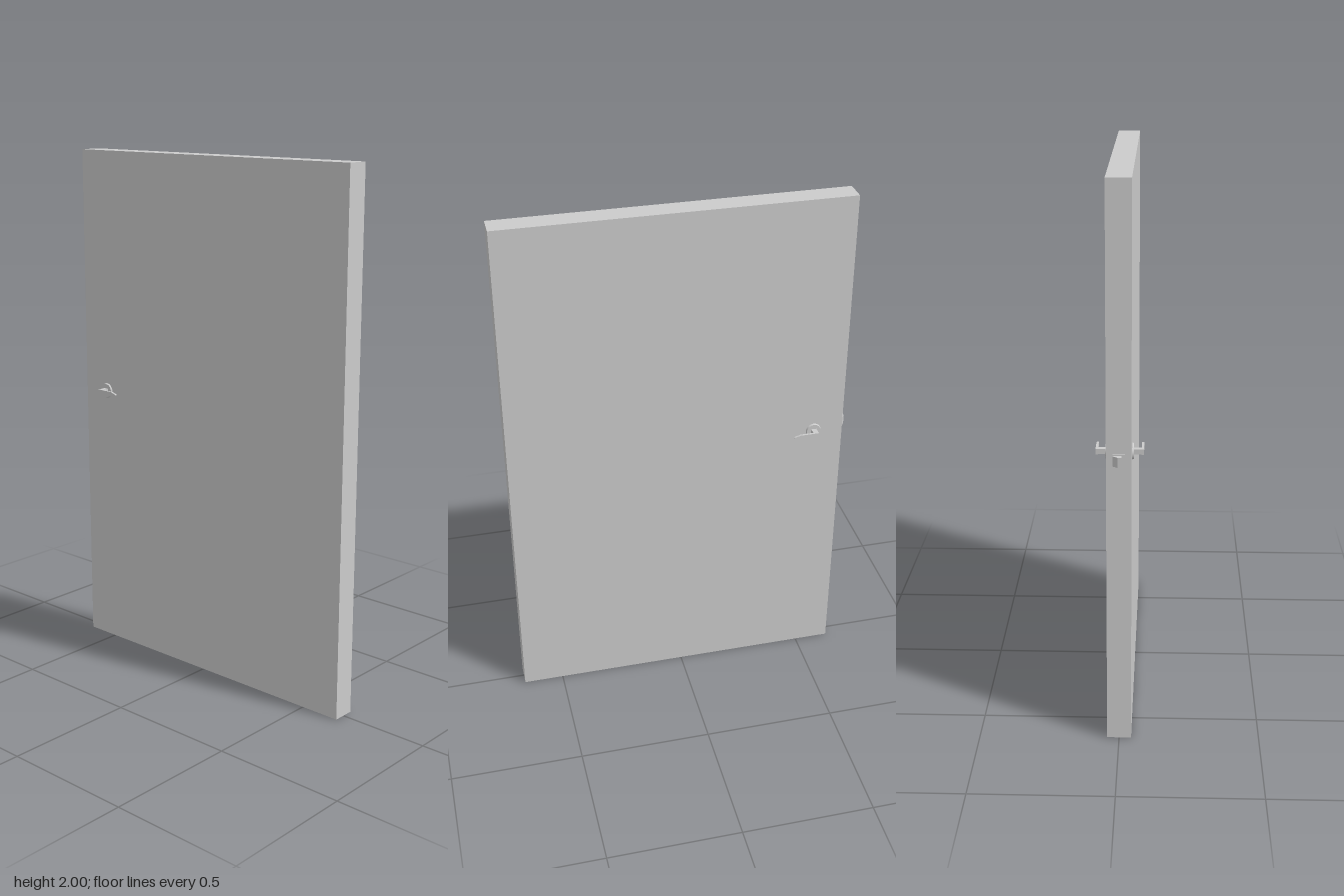
import * as THREE from 'three';

export function createModel() {
  const model = new THREE.Group();
  model.name = 'door';
  const material = new THREE.MeshStandardMaterial({ color: 0xcccccc });

  function add(parent, name, geometry, x = 0, y = 0, z = 0) {
    const mesh = new THREE.Mesh(geometry, material);
    mesh.name = name;
    mesh.position.set(x, y, z);
    parent.add(mesh);
    return mesh;
  }

  function extrude(points, depth) {
    const shape = new THREE.Shape(points.map(([x, y]) => new THREE.Vector2(x, y)));
    return new THREE.ExtrudeGeometry(shape, { depth, bevelEnabled: false });
  }

  // Plain slab
  add(model, 'doorPanel', new THREE.BoxGeometry(1.29, 2, 0.086), 0.01, 1, 0);

  // Handle sets, the same on both faces; mirrored by the sign of z
  const handleY = 1.052;
  for (const side of [1, -1]) {
    const handle = new THREE.Group();
    handle.name = side > 0 ? 'frontHandle' : 'backHandle';
    handle.position.set(-0.52, handleY, 0);
    model.add(handle);

    const rosette = add(handle, 'rosette', new THREE.CylinderGeometry(0.027, 0.03, 0.007, 32), 0, 0, side * 0.0455);
    rosette.rotation.x = side * Math.PI / 2;

    // Square neck and a tapering lever pointing to the hinge side
    add(handle, 'neck', new THREE.BoxGeometry(0.02, 0.018, 0.038), 0, 0, side * 0.062);
    const lever = extrude([
      [-0.01, -0.01], [0.062, -0.009], [0.087, -0.002], [0.087, 0.002], [0.062, 0.009], [-0.01, 0.01],
    ], 0.008);
    add(handle, 'lever', lever, 0, 0, side > 0 ? 0.075 : -0.083);
  }

  // Latch in the free edge: face plate and bevelled bolt
  const latch = new THREE.Group();
  latch.name = 'latch';
  latch.position.set(-0.635, 1.058, 0);
  model.add(latch);
  add(latch, 'latchPlate', new THREE.BoxGeometry(0.006, 0.044, 0.042), 0, 0, 0);
  const bolt = extrude([[0, -0.01], [0, 0.02], [-0.008, 0.02], [-0.02, 0.004], [-0.02, -0.01]], 0.036);
  add(latch, 'latchBolt', bolt, 0, 0.018, 0).rotation.x = Math.PI / 2;
  // Flip so the slope faces the back
  bolt.rotateX(Math.PI).translate(0, 0, 0.036);

  return model;
}
